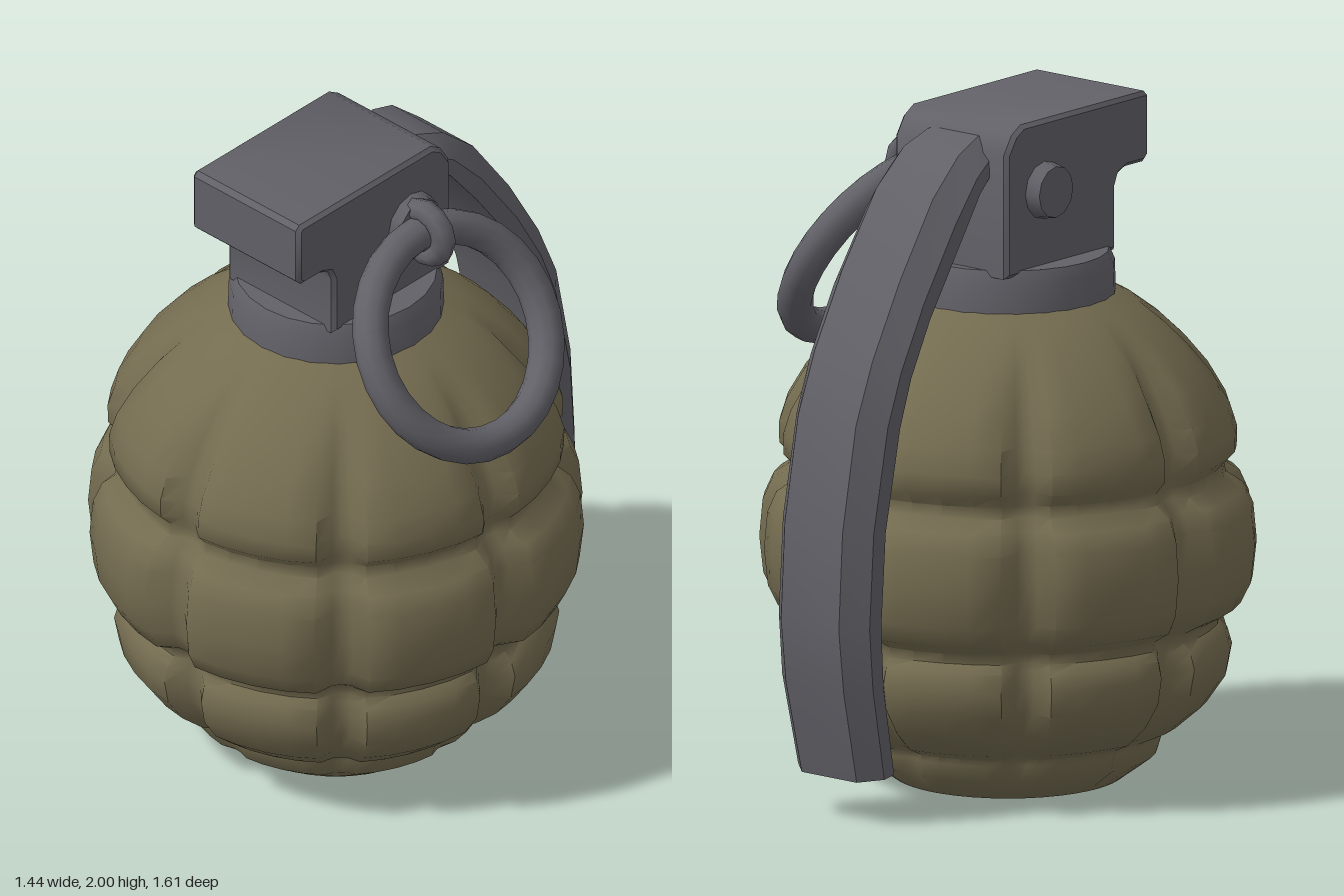
import * as THREE from 'three';
import { toCreasedNormals } from 'three/addons/utils/BufferGeometryUtils.js';

const CENTER_Z = 0.085; // axis of body and neck

function indexed(positions, index) {
  const g = new THREE.BufferGeometry();
  g.setAttribute('position', new THREE.Float32BufferAttribute(positions, 3));
  g.setIndex(index);
  g.computeVertexNormals();
  return g;
}

// Segmented shell: rows of [height, radius, depth of the vertical grooves]
function bodyGeometry() {
  const rows = [
    [0, 0, 0], [0, 0.34, 0], [0.015, 0.36, 0], [0.07, 0.435, 0.015], [0.12, 0.45, 0.02],
    [0.14, 0.455, 0.02], [0.165, 0.51, 0.03], [0.23, 0.585, 0.05], [0.31, 0.64, 0.06],
    [0.39, 0.655, 0.06], [0.44, 0.64, 0.05], [0.465, 0.617, 0.03], [0.495, 0.622, 0.03],
    [0.53, 0.685, 0.05], [0.59, 0.715, 0.06], [0.7, 0.727, 0.06], [0.81, 0.717, 0.06],
    [0.87, 0.69, 0.05], [0.905, 0.635, 0.03], [0.94, 0.63, 0.03], [0.98, 0.668, 0.05],
    [1.04, 0.67, 0.06], [1.11, 0.648, 0.06], [1.2, 0.595, 0.05], [1.28, 0.528, 0.03],
    [1.35, 0.455, 0.01], [1.41, 0.375, 0], [1.45, 0.3, 0],
  ];
  // One of eight sectors: [degrees, share of groove depth]
  const sector = [[0, 1], [2.5, 0.9], [6.5, 0.05], [14, 0], [22.5, 0], [31, 0], [38.5, 0.05], [42.5, 0.9]];
  const cols = sector.length * 8;
  const positions = [], index = [];
  for (const [y, r, depth] of rows) {
    for (let i = 0; i < cols; i++) {
      const [deg, share] = sector[i % sector.length];
      const a = THREE.MathUtils.degToRad(deg + 45 * Math.floor(i / sector.length));
      const radius = r - depth * share;
      positions.push(radius * Math.cos(a), y, CENTER_Z + radius * Math.sin(a));
    }
  }
  for (let j = 0; j < rows.length - 1; j++) {
    for (let i = 0; i < cols; i++) {
      const a = j * cols + i, c = j * cols + (i + 1) % cols;
      const b = a + cols, d = c + cols;
      index.push(a, b, c, b, d, c);
    }
  }
  return toCreasedNormals(indexed(positions, index), 0.9);
}

// Curved lever: stations of [outer z, outer y, inner z, inner y, width scale]
function leverGeometry() {
  const stations = [
    [-0.1, 1.97, -0.1, 1.87, 0.72], [-0.17, 1.955, -0.155, 1.86, 0.84], [-0.26, 1.92, -0.23, 1.81, 0.93],
    [-0.38, 1.815, -0.33, 1.68, 0.98], [-0.53, 1.6, -0.47, 1.48, 1], [-0.655, 1.38, -0.555, 1.32, 1],
    [-0.73, 1.2, -0.605, 1.18, 1], [-0.79, 0.89, -0.67, 0.88, 1], [-0.807, 0.6, -0.69, 0.6, 1],
    [-0.785, 0.41, -0.68, 0.42, 1], [-0.72, 0.13, -0.622, 0.145, 0.95],
  ];
  // Cross-section: [x, share of the way from outer to inner side]
  const section = [[-0.11, 0], [0.11, 0], [0.173, 0.55], [0.173, 1], [-0.173, 1], [-0.173, 0.55]];
  const n = section.length, last = (stations.length - 1) * n;
  const positions = [], index = [];
  for (const [oz, oy, iz, iy, w] of stations) {
    for (const [x, t] of section) positions.push(x * w, oy + (iy - oy) * t, oz + (iz - oz) * t);
  }
  for (let s = 0; s < stations.length - 1; s++) {
    for (let k = 0; k < n; k++) {
      const a = s * n + k, b = s * n + (k + 1) % n;
      index.push(a, b, a + n, b, b + n, a + n);
    }
  }
  for (let k = 1; k < n - 1; k++) {
    index.push(0, k + 1, k, last, last + k, last + k + 1);
  }
  return toCreasedNormals(indexed(positions, index), 0.45);
}

// Head block: side profile in (z, y), extruded across x
function headGeometry() {
  const profile = [
    [-0.175, 1.55], [0.32, 1.55], [0.32, 1.74], [0.335, 1.775], [0.37, 1.79],
    [0.45, 1.79], [0.47, 1.81], [0.47, 1.985], [0.455, 2], [-0.1, 2], [-0.14, 1.975], [-0.175, 1.92],
  ];
  const shape = new THREE.Shape(profile.map(([z, y]) => new THREE.Vector2(z, y)));
  const bevel = 0.012;
  const g = new THREE.ExtrudeGeometry(shape, {
    depth: 0.43 - 2 * bevel, bevelEnabled: true, bevelThickness: bevel,
    bevelSize: bevel, bevelOffset: -bevel, bevelSegments: 1,
  });
  g.translate(0, 0, -(0.43 - 2 * bevel) / 2);
  g.rotateY(-Math.PI / 2);
  return toCreasedNormals(g, 0.6);
}

export function createModel() {
  const olive = new THREE.MeshStandardMaterial({ color: 0x746c50 });
  olive.name = 'olive';
  const metal = new THREE.MeshStandardMaterial({ color: 0x626168 });
  metal.name = 'grey metal';

  const model = new THREE.Group();
  model.name = 'model';
  const add = (name, geometry, material, x = 0, y = 0, z = 0) => {
    const mesh = new THREE.Mesh(geometry, material);
    mesh.name = name;
    mesh.position.set(x, y, z);
    model.add(mesh);
    return mesh;
  };

  add('body', bodyGeometry(), olive);

  // Collar with a small bevel at the top
  const collar = [[0, 1.42], [0.315, 1.42], [0.312, 1.53], [0.295, 1.568], [0, 1.568]];
  const neck = new THREE.LatheGeometry(collar.map(([r, y]) => new THREE.Vector2(r, y)), 24);
  add('neck', toCreasedNormals(neck, 0.6), metal, 0, 0, CENTER_Z);

  add('head', headGeometry(), metal);
  add('lever', leverGeometry(), metal);

  // Pin ends on both sides of the head
  for (const [name, side, length, radius] of [['pinHub', 1, 0.035, 0.1], ['pinCap', -1, 0.045, 0.09]]) {
    const pin = new THREE.CylinderGeometry(radius * 0.85, radius, length + 0.02, 12);
    pin.rotateZ(-side * Math.PI / 2);
    add(name, toCreasedNormals(pin, 0.6), metal, side * (0.205 + length / 2), 1.79, -0.005);
  }

  // Small eye that holds the pull ring
  add('pinEye', new THREE.TorusGeometry(0.073, 0.036, 8, 12), metal, 0.28, 1.785, 0.003);

  // Pull ring hanging outward
  const ring = add('pullRing', new THREE.TorusGeometry(0.323, 0.053, 10, 28), metal, 0.453, 1.52, 0.045);
  ring.rotation.set(0, Math.PI / 2, 0.581, 'ZYX');

  return model;
}
